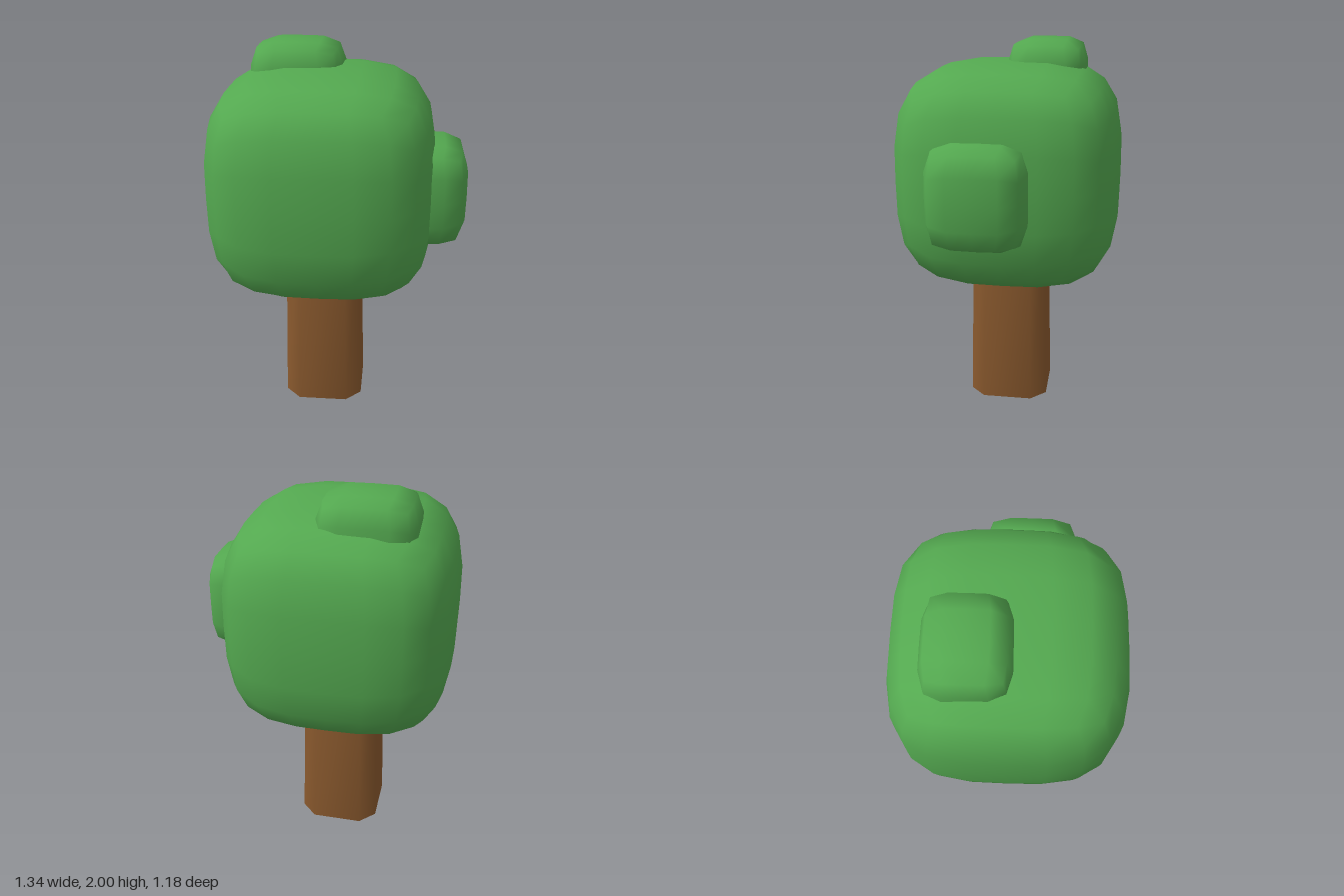
import * as THREE from 'three';
import { mergeVertices } from 'three/addons/utils/BufferGeometryUtils.js';

const leafGreen = new THREE.MeshStandardMaterial({ color: 0x54a950 });
leafGreen.name = 'leafGreen';
const barkBrown = new THREE.MeshStandardMaterial({ color: 0x8b5a2e, side: THREE.DoubleSide });
barkBrown.name = 'barkBrown';

// Rounded cube: a gridded box whose points are pulled onto a superellipsoid
function leafBlock(name, center, half, segments, power) {
  let geometry = new THREE.BoxGeometry(2, 2, 2, segments, segments, segments);
  geometry.deleteAttribute('normal');
  geometry.deleteAttribute('uv');
  geometry = mergeVertices(geometry);
  const pos = geometry.attributes.position;
  const v = new THREE.Vector3();
  for (let i = 0; i < pos.count; i++) {
    v.fromBufferAttribute(pos, i);
    const norm = Math.abs(v.x) ** power + Math.abs(v.y) ** power + Math.abs(v.z) ** power;
    v.multiplyScalar(norm ** (-1 / power));
    pos.setXYZ(i, v.x * half[0], v.y * half[1], v.z * half[2]);
  }
  geometry.computeVertexNormals();
  const mesh = new THREE.Mesh(geometry, leafGreen);
  mesh.name = name;
  mesh.position.set(...center);
  return mesh;
}

// Tapered trunk: an open tube with a chamfered square section
function trunk() {
  const c = 0.62;
  const outline = [[c, 1], [1, c], [1, -c], [c, -1], [-c, -1], [-1, -c], [-1, c], [-c, 1]];
  const n = outline.length;
  const points = [];
  const index = [];
  for (const [y, r] of [[0, 0.217], [1.0, 0.197]]) {
    for (const [x, z] of outline) points.push(x * r, y, z * r);
  }
  for (let i = 0; i < n; i++) {
    const j = (i + 1) % n;
    index.push(i, j, n + j, i, n + j, n + i);
  }
  const geometry = new THREE.BufferGeometry();
  geometry.setAttribute('position', new THREE.Float32BufferAttribute(points, 3));
  geometry.setIndex(index);
  geometry.computeVertexNormals();
  const mesh = new THREE.Mesh(geometry, barkBrown);
  mesh.name = 'trunk';
  mesh.position.x = -0.077;
  return mesh;
}

export function createModel() {
  const tree = new THREE.Group();
  tree.name = 'tree';
  tree.add(
    trunk(),
    leafBlock('crown', [-0.079, 1.306, 0], [0.591, 0.585, 0.591], 6, 3.55),
    leafBlock('topTuft', [-0.225, 1.76, -0.18], [0.245, 0.24, 0.21], 4, 4.7),
    leafBlock('sideTuft', [0.43, 1.296, 0.093], [0.238, 0.265, 0.252], 4, 4.7),
  );
  return tree;
}
